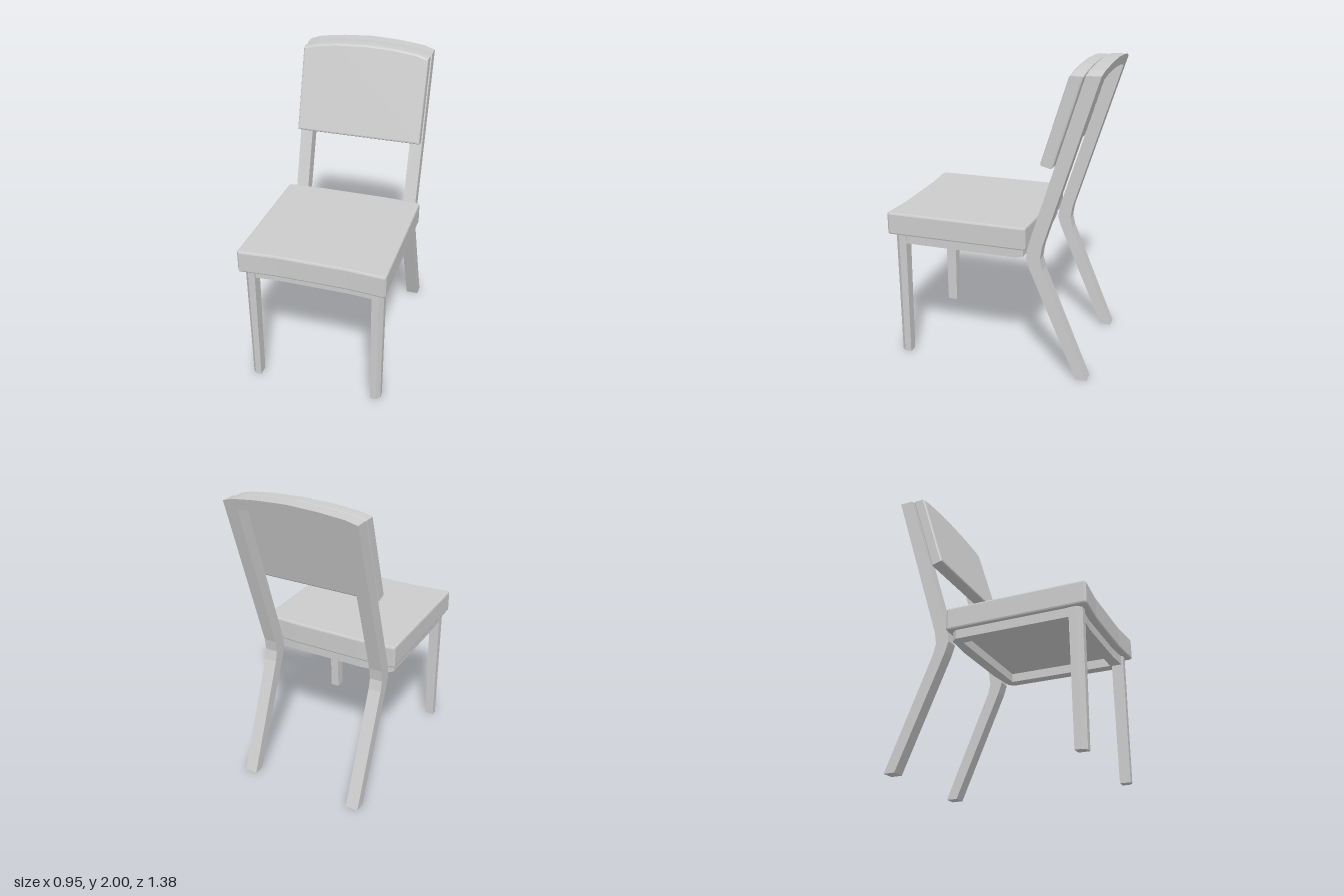
import * as THREE from 'three';

const material = new THREE.MeshStandardMaterial({ color: 0xcccccc });

function addMesh(group, name, geometry) {
  geometry.computeVertexNormals();
  const mesh = new THREE.Mesh(geometry, material);
  mesh.name = name;
  group.add(mesh);
  return mesh;
}

// Closed outline from its +x half, listed from one end to the other
function mirrored(half) {
  const other = half.filter(([x]) => x > 0).map(([x, y]) => [-x, y]).reverse();
  return [...half, ...other].map(([x, y]) => new THREE.Vector2(x, y));
}

function extrude(points, depth, bevel = 0, hole = null) {
  const shape = new THREE.Shape(points);
  if (hole) shape.holes.push(new THREE.Path(hole));
  return new THREE.ExtrudeGeometry(shape, {
    depth: depth - 2 * bevel,
    bevelEnabled: bevel > 0,
    bevelThickness: bevel,
    bevelSize: bevel,
    bevelOffset: -bevel,
    bevelSegments: 2,
  }).translate(0, 0, bevel);
}

// Plan outline (x, z) raised from y0 to y1
function slab(plan, y0, y1, bevel = 0, hole = null) {
  const flip = (pts) => pts && pts.map((p) => new THREE.Vector2(p.x, -p.y));
  return extrude(flip(plan), y1 - y0, bevel, flip(hole))
    .rotateX(-Math.PI / 2)
    .translate(0, y0, 0);
}

// Move every vertex by a rule
function deform(geometry, rule) {
  const pos = geometry.attributes.position;
  const v = new THREE.Vector3();
  for (let i = 0; i < pos.count; i++) {
    rule(v.fromBufferAttribute(pos, i));
    pos.setXYZ(i, v.x, v.y, v.z);
  }
  return geometry;
}

const LEAN = 0.308; // backward slope of the backrest

export function createModel() {
  const chair = new THREE.Group();
  chair.name = 'chair';

  // Seat cushion with gently curved front and back edges
  const seatPlan = mirrored([
    [0.23, 0.672], [0.463, 0.69], [0.475, 0.676],
    [0.475, -0.228], [0.461, -0.243], [0.23, -0.255],
  ]);
  addMesh(chair, 'seat', slab(seatPlan, 0.86, 1.01, 0.012));

  // Open apron frame under the seat
  const apronPlan = mirrored([
    [0.23, 0.625], [0.42, 0.64], [0.448, 0.61],
    [0.448, -0.18], [0.42, -0.215], [0.23, -0.235],
  ]);
  const apronHole = mirrored([[0.375, 0.56], [0.375, -0.165]]);
  addMesh(chair, 'apron', slab(apronPlan, 0.8, 0.862, 0, apronHole));

  // Back post side profile as (z, y)
  const postProfile = [
    [-0.575, 0], [-0.26, 0.73], [-0.238, 0.8], [-0.25, 0.88], [-0.564, 1.9],
    [-0.654, 1.9], [-0.34, 0.88], [-0.328, 0.8], [-0.345, 0.73], [-0.65, 0],
  ].map(([z, y]) => new THREE.Vector2(z, y));

  for (const side of [1, -1]) {
    const label = side > 0 ? 'left' : 'right';

    // Tapered front leg with a chamfered outer corner
    const legPlan = [[0.38, 0.57], [0.38, 0.65], [0.425, 0.65], [0.452, 0.62], [0.452, 0.57]]
      .map(([x, z]) => new THREE.Vector2(side * x, z));
    const leg = deform(slab(legPlan, 0, 0.861), (v) => {
      const k = 0.87 + 0.13 * (v.y / 0.861);
      v.x = side * 0.416 + (v.x - side * 0.416) * k;
      v.z = 0.61 + (v.z - 0.61) * k;
    });
    addMesh(chair, `${label}FrontLeg`, leg);

    // Bent back leg running up into the backrest
    const post = extrude(postProfile, 0.085)
      .rotateY(-Math.PI / 2)
      .translate(side * 0.3925 + 0.0425, 0, 0);
    addMesh(chair, `${label}BackPost`, post);
  }

  // Arched top rail, leaning with the posts
  const railOutline = mirrored([
    [0, 2], [0.2, 1.99], [0.36, 1.972], [0.435, 1.95],
    [0.435, 1.9], [0.35, 1.9], [0.2, 1.925], [0, 1.935],
  ]);
  const rail = deform(extrude(railOutline, 0.09), (v) => {
    v.z += -0.685 - LEAN * (v.y - 2);
  });
  addMesh(chair, 'topRail', rail);

  // Back cushion with an arched top, its lower edge square to the lean
  const cushionOutline = mirrored([
    [0, 1.992], [0.2, 1.984], [0.35, 1.966], [0.43, 1.944], [0.43, 1.385],
  ]);
  const cushion = deform(extrude(cushionOutline, 0.086, 0.012), (v) => {
    const depth = v.z;
    v.y += 0.25 * depth * Math.max(0, (1.94 - v.y) / 0.555);
    v.z += -0.4 - LEAN * (v.y - 1.4);
  });
  addMesh(chair, 'backCushion', cushion);

  return chair;
}
